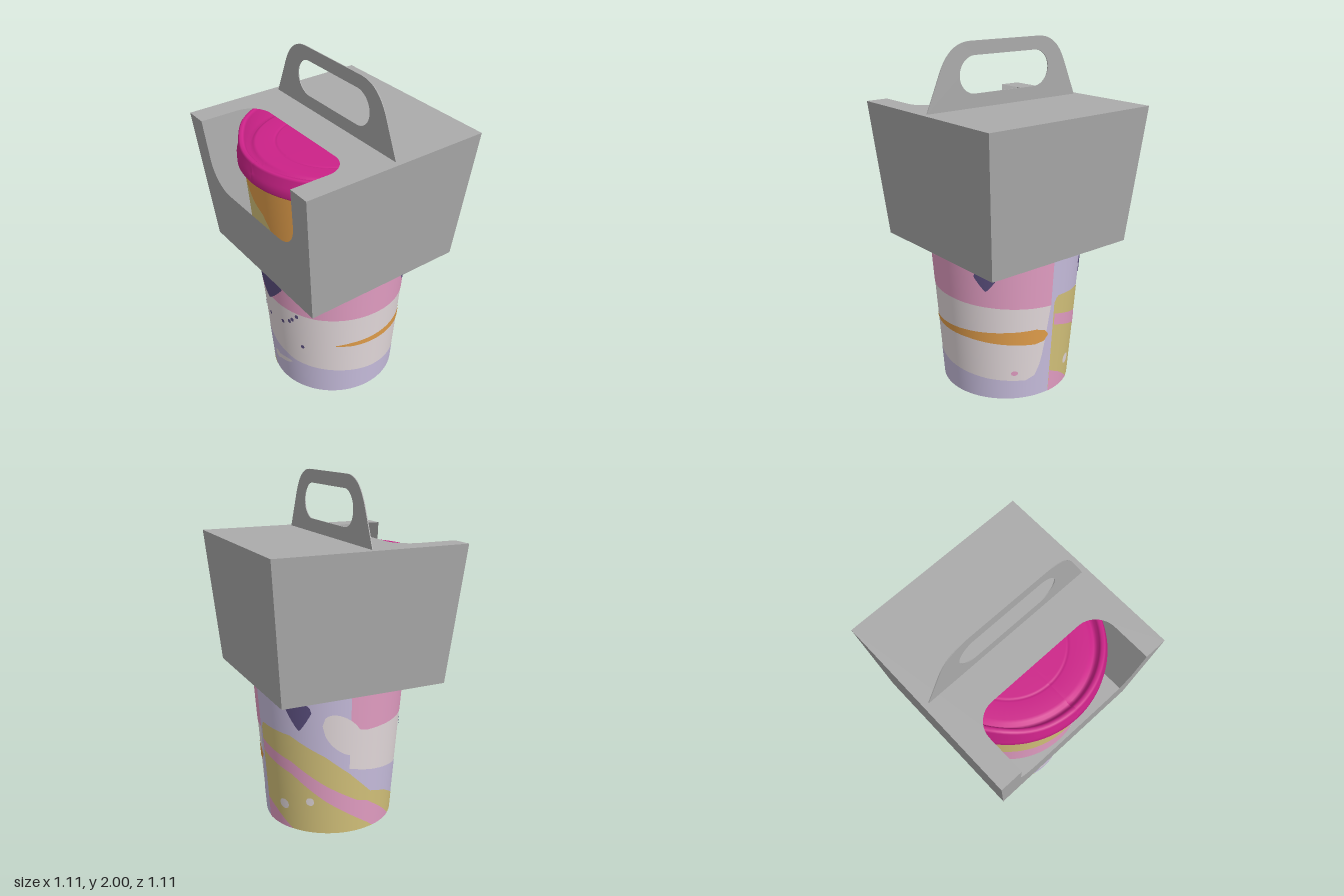
import * as THREE from 'three';

const mat = (name, color, side = THREE.FrontSide) => {
  const m = new THREE.MeshStandardMaterial({ color, side });
  m.name = name;
  return m;
};

export function createModel() {
  const M = {
    card: mat('grey card', 0xababab, THREE.DoubleSide),
    lid: mat('magenta', 0xcc2288),
    pink: mat('pink', 0xe6a0c6),
    cream: mat('off white', 0xe6dcde),
    lavender: mat('lavender', 0xcac0e0),
    purple: mat('dark purple', 0x5c5080),
    yellow: mat('yellow', 0xd6c47c),
    orange: mat('orange', 0xe4a04c),
    base: mat('cup base grey', 0xd0c4c6, THREE.DoubleSide),
  };
  const model = new THREE.Group();
  const add = (parent, name, geo, material) => {
    const mesh = new THREE.Mesh(geo, material);
    mesh.name = name;
    parent.add(mesh);
    return mesh;
  };

  // ---------- Cup ----------
  const cup = new THREE.Group();
  cup.name = 'cup';
  model.add(cup);
  const radius = (y) => 0.375 + 0.0756 * y;
  const asFn = (f) => (typeof f === 'function' ? f : () => f);

  // Piecewise curve through [angle, height] points
  const curve = (...pts) => (a) => {
    let i = 0;
    while (i < pts.length - 2 && a > pts[i + 1][0]) i++;
    const [a0, y0] = pts[i], [a1, y1] = pts[i + 1];
    return y0 + (y1 - y0) * THREE.MathUtils.clamp((a - a0) / (a1 - a0), 0, 1);
  };

  // Painted patch on the cone from angle a0 to a1 (degrees from the front), between two height rules
  const patch = (name, material, a0, a1, low, high, layer = 1, step = 2) => {
    const lo = asFn(low), hi = asFn(high);
    const n = Math.max(12, Math.ceil((a1 - a0) / step));
    const pos = [], nor = [], idx = [];
    for (let i = 0; i <= n; i++) {
      const a = a0 + ((a1 - a0) * i) / n, t = THREE.MathUtils.degToRad(a);
      const y0 = lo(a), y1 = Math.max(y0, hi(a));
      for (const y of [y0, y1]) {
        const r = radius(y) + layer * 0.0015;
        pos.push(r * Math.sin(t), y, r * Math.cos(t));
        nor.push(Math.sin(t), -0.0756, Math.cos(t));
      }
      if (i < n) idx.push(2 * i, 2 * i + 2, 2 * i + 3, 2 * i, 2 * i + 3, 2 * i + 1);
    }
    const g = new THREE.BufferGeometry();
    g.setAttribute('position', new THREE.Float32BufferAttribute(pos, 3));
    g.setAttribute('normal', new THREE.Float32BufferAttribute(nor, 3));
    g.setIndex(idx);
    g.normalizeNormals();
    return add(cup, name, g, material);
  };
  const blob = (name, material, a, y, da, dy, tilt = 0) => {
    const h = (x) => dy * Math.sqrt(Math.max(0, 1 - ((x - a) / da) ** 2));
    const mid = (x) => y + (tilt * (x - a)) / da;
    patch(name, material, a - da, a + da, (x) => mid(x) - h(x), (x) => mid(x) + h(x), 3);
  };
  const heart = (a, da, y0, y1) => {
    const t = (x) => Math.min(1, Math.abs(x - a) / da);
    const h = y1 - y0;
    patch('heart', M.purple, a - da, a + da,
      (x) => y0 + h * 0.7 * t(x) ** 1.25,
      (x) => y0 + h * (0.7 + 0.3 * Math.sqrt(Math.max(0, 1 - (1.7 * t(x) - 0.7) ** 2))), 3, 1);
  };

  // Wall and wide colour bands
  patch('cupWall', M.cream, 0, 360, 0, 1.46, 0);
  patch('pinkBand', M.pink, -98, 178,
    curve([-98, 0.66], [-85, 0.635], [-40, 0.64], [0, 0.63], [40, 0.61], [90, 0.605], [130, 0.59], [178, 0.57]), 1.1);
  patch('lavenderBand', M.lavender, -98, 178, 0,
    curve([-98, 0.41], [-80, 0.38], [-40, 0.33], [-8, 0.265], [20, 0.21], [60, 0.185], [90, 0.155],
      [125, 0.13], [158, 0.115], [166, 0.14], [171, 0.22], [174, 0.35], [178, 0.58]));
  patch('lavenderBack', M.lavender, 178, 262, 0, 1.1);
  patch('orangeTop', M.orange, 0, 360, 1.1, 1.46);
  patch('yellowTop', M.yellow, -110, 14, 1.1,
    curve([-31, 1.46], [-26, 1.4], [-18, 1.345], [-8, 1.29], [2, 1.25], [14, 1.1]), 2);

  // Sweeping yellow panel with a pink stripe
  patch('yellowSweep', M.yellow, 181, 348, 0,
    curve([181, 0.58], [184, 0.62], [215, 0.6], [243, 0.49], [262, 0.38], [282, 0.24], [300, 0.2], [318, 0.13], [348, 0]), 2);
  patch('pinkStripe', M.pink, 182, 314,
    curve([182, 0.44], [215, 0.36], [243, 0.21], [282, 0.03], [287, 0]),
    curve([182, 0.51], [215, 0.44], [243, 0.31], [270, 0.2], [280, 0.18], [300, 0.08], [314, 0]), 3);
  patch('pinkCorner', M.pink, 181, 213, 0, curve([181, 0.14], [195, 0.09], [213, 0]), 3);
  blob('whitePatch', M.cream, 257, 0.62, 16, 0.11, -0.06);

  // Tapered orange brush stroke
  patch('orangeStroke', M.orange, 54, 177,
    curve([54, 0.4], [70, 0.386], [110, 0.378], [140, 0.36], [165, 0.345], [173, 0.355], [177, 0.39]),
    curve([54, 0.4], [70, 0.415], [110, 0.428], [140, 0.437], [165, 0.44], [173, 0.425], [177, 0.39]), 2);

  // Hearts, specks and flecks
  heart(-6.5, 19, 0.615, 0.815);
  heart(126, 9, 0.69, 0.81);
  heart(223, 10, 0.64, 0.8);
  for (const [a, y] of [[-37.5, 0.59], [-34.5, 0.56], [-30, 0.525], [-20.5, 0.495], [-8.5, 0.478],
    [9.5, 0.503], [17, 0.535], [20, 0.558], [24.5, 0.595], [28, 0.357]]) {
    blob('speck', M.purple, a, y, 1.6, 0.014);
  }
  blob('whiteFleck', M.cream, -6, 0.145, 4.5, 0.03);
  blob('whiteFleck', M.cream, 4, 0.16, 11, 0.018, 0.02);
  for (const [a, y, da, dy] of [[73, 0.84, 4, 0.03], [205, 0.15, 5, 0.03], [230, 0.2, 3.5, 0.025]]) {
    blob('whiteFleck', M.cream, a, y, da, dy);
  }
  blob('pinkFleck', M.pink, 148, 0.17, 3, 0.015);

  // Recessed bottom
  const bottom = [[0, 0.02], [0.36, 0.02], [0.362, 0], [0.375, 0]].map((p) => new THREE.Vector2(...p));
  add(cup, 'cupBottom', new THREE.LatheGeometry(bottom, 72), M.base);

  // ---------- Lid: turned profile whose rim rises toward the back right ----------
  const lidProfile = [
    [0.48, 1.45], [0.512, 1.45], [0.519, 1.46], [0.519, 1.505], [0.51, 1.513], [0.506, 1.56],
    [0.498, 1.57], [0.482, 1.57], [0.472, 1.56], [0.462, 1.535], [0.445, 1.53], [0.43, 1.545],
    [0.415, 1.55], [0.325, 1.55], [0.315, 1.544], [0.305, 1.544], [0.297, 1.55], [0, 1.55],
  ].map((p) => new THREE.Vector2(...p));
  const lidGeo = new THREE.LatheGeometry(lidProfile, 96);
  const p = lidGeo.attributes.position;
  for (let i = 0; i < p.count; i++) {
    const x = p.getX(i), z = p.getZ(i), r = Math.hypot(x, z);
    if (r > 0.468 && p.getY(i) > 1.555) {
      const rise = THREE.MathUtils.smoothstep((-0.8 * x - 0.6 * z) / r, -0.35, 0.25);
      p.setY(i, p.getY(i) + 0.05 * rise);
    }
  }
  lidGeo.computeVertexNormals();
  add(model, 'lid', lidGeo, M.lid);

  // ---------- Card carrier ----------
  const carrier = new THREE.Group();
  carrier.name = 'carrier';
  model.add(carrier);
  const Y0 = 0.86, Y1 = 1.645, H0 = 0.487, H1 = 0.557;
  const half = (y) => H0 + ((H1 - H0) * (y - Y0)) / (Y1 - Y0);

  // Leans a flat panel outward so it lies on the tapered wall
  const wall = (name, shape, turn) => {
    const g = new THREE.ShapeGeometry(shape, 16);
    const q = g.attributes.position;
    for (let i = 0; i < q.count; i++) q.setZ(i, half(q.getY(i)));
    g.computeVertexNormals();
    g.rotateY(turn);
    add(carrier, name, g, M.card);
  };
  const plain = new THREE.Shape().moveTo(-H0, Y0).lineTo(H0, Y0).lineTo(H1, Y1).lineTo(-H1, Y1);
  ['leftWall', 'backWall', 'rightWall'].forEach((name, i) => wall(name, plain, ((i + 1) * Math.PI) / 2));

  // Front wall with an open rounded window
  const front = new THREE.Shape().moveTo(-H0, Y0).lineTo(H0, Y0).lineTo(H1, Y1).lineTo(0.427, Y1).lineTo(0.408, 1.42);
  front.bezierCurveTo(0.402, 1.32, 0.335, 1.25, 0.24, 1.25).lineTo(-0.24, 1.25);
  front.bezierCurveTo(-0.335, 1.25, -0.402, 1.32, -0.408, 1.42).lineTo(-0.427, Y1).lineTo(-H1, Y1);
  wall('frontWall', front, 0);

  // Top panel with the matching cut-out (shape y runs toward the back)
  const top = new THREE.Shape().moveTo(-H1, -H1).lineTo(-0.427, -H1).lineTo(-0.427, -0.335);
  top.bezierCurveTo(-0.427, -0.265, -0.37, -0.205, -0.295, -0.205).lineTo(0.295, -0.205);
  top.bezierCurveTo(0.37, -0.205, 0.427, -0.265, 0.427, -0.335).lineTo(0.427, -H1);
  top.lineTo(H1, -H1).lineTo(H1, H1).lineTo(-H1, H1);
  add(carrier, 'topPanel', new THREE.ShapeGeometry(top, 16).rotateX(-Math.PI / 2).translate(0, Y1, 0), M.card);

  // Bottom panel with a round hole for the cup
  const floor = new THREE.Shape().moveTo(-H0, -H0).lineTo(H0, -H0).lineTo(H0, H0).lineTo(-H0, H0);
  floor.holes.push(new THREE.Path().absarc(0, 0, radius(Y0) + 0.003, 0, Math.PI * 2, true));
  add(carrier, 'bottomPanel', new THREE.ShapeGeometry(floor, 48).rotateX(Math.PI / 2).translate(0, Y0, 0), M.card);

  // Handle with a slot for the hand
  const handle = new THREE.Shape().moveTo(-0.525, Y1).lineTo(0.525, Y1).lineTo(0.44, 1.845);
  handle.bezierCurveTo(0.4, 1.94, 0.34, 2, 0.235, 2).lineTo(-0.235, 2);
  handle.bezierCurveTo(-0.34, 2, -0.4, 1.94, -0.44, 1.845).lineTo(-0.525, Y1);
  const slot = new THREE.Path();
  slot.absarc(0.21, 1.823, 0.102, Math.PI / 2, -Math.PI / 2, true);
  slot.absarc(-0.21, 1.823, 0.102, -Math.PI / 2, Math.PI / 2, true);
  handle.holes.push(slot);
  const handleGeo = new THREE.ExtrudeGeometry(handle, { depth: 0.005, bevelEnabled: false, curveSegments: 20 });
  add(carrier, 'handle', handleGeo.translate(0, 0, -0.0025), M.card);

  return model;
}
